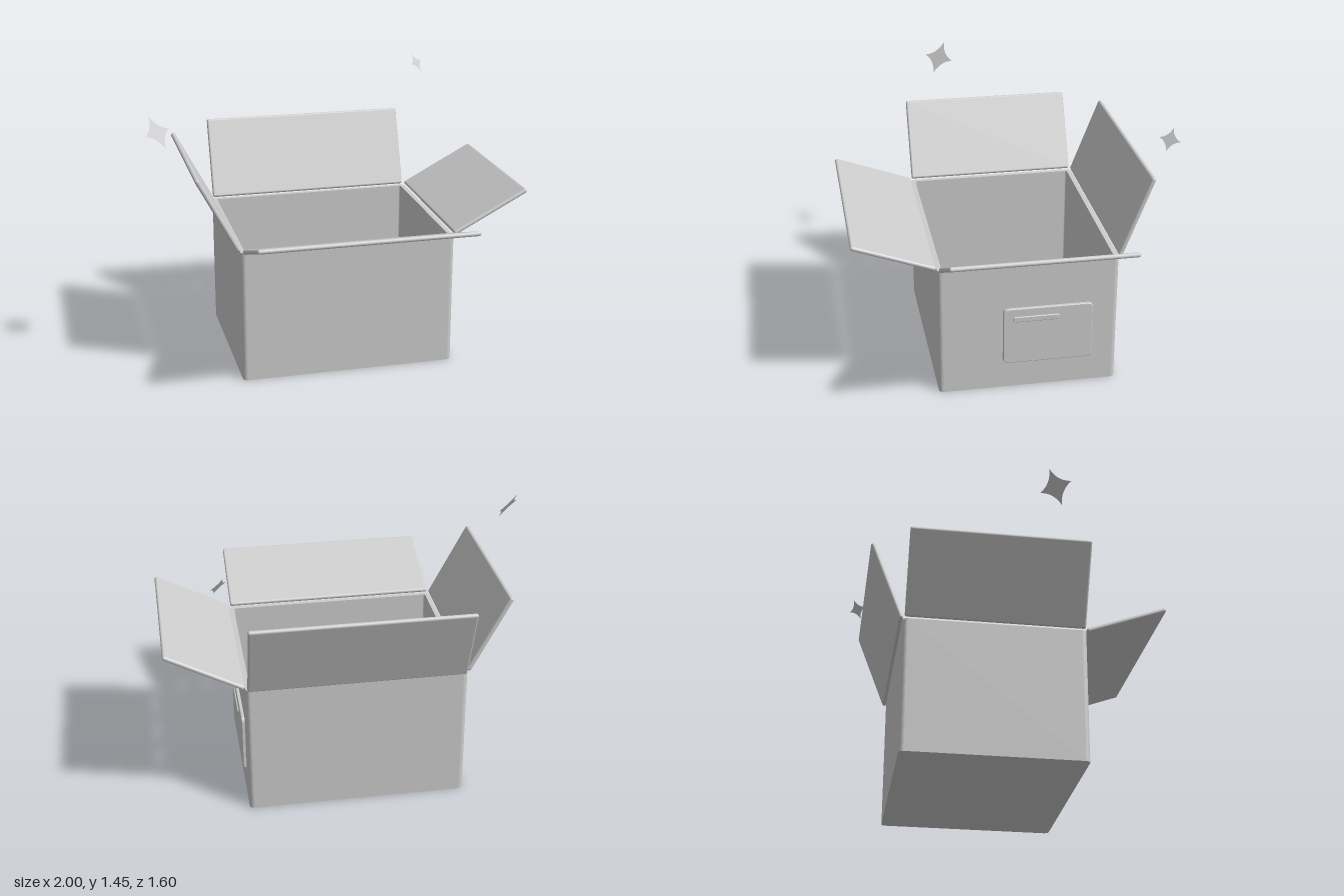
import * as THREE from 'three';
import { RoundedBoxGeometry } from 'three/addons/geometries/RoundedBoxGeometry.js';

const cardboard = new THREE.MeshStandardMaterial({ color: 0xcccccc, side: THREE.DoubleSide });
cardboard.name = 'pale grey';

// Rounded rectangle centred on the origin, drawn on a Shape or a hole Path
function roundRect(path, w, h, r) {
  const x = w / 2, y = h / 2;
  path.moveTo(-x + r, -y);
  path.lineTo(x - r, -y);
  path.absarc(x - r, -y + r, r, -Math.PI / 2, 0);
  path.lineTo(x, y - r);
  path.absarc(x - r, y - r, r, 0, Math.PI / 2);
  path.lineTo(-x + r, y);
  path.absarc(-x + r, y - r, r, Math.PI / 2, Math.PI);
  path.lineTo(-x, -y + r);
  path.absarc(-x + r, -y + r, r, Math.PI, Math.PI * 1.5);
  return path;
}

export function createModel() {
  const model = new THREE.Group();
  model.name = 'openBox';

  function add(name, geometry, x, y, z) {
    const mesh = new THREE.Mesh(geometry, cardboard);
    mesh.name = name;
    mesh.position.set(x, y, z);
    model.add(mesh);
    return mesh;
  }

  // Hollow body: four walls and a floor
  const height = 0.715, cx = 0.018, cz = -0.1;
  const wallShape = roundRect(new THREE.Shape(), 1.15, 0.945, 0.025);
  wallShape.holes.push(roundRect(new THREE.Path(), 1.1, 0.895, 0.012));
  const walls = new THREE.ExtrudeGeometry(wallShape, { depth: height, bevelEnabled: false, curveSegments: 8 });
  walls.rotateX(-Math.PI / 2);
  add('walls', walls, cx, 0, cz);

  const floorShape = roundRect(new THREE.Shape(), 1.104, 0.899, 0.012);
  const floor = new THREE.ExtrudeGeometry(floorShape, { depth: 0.025, bevelEnabled: false, curveSegments: 8 });
  floor.rotateX(-Math.PI / 2);
  add('floor', floor, cx, 0, cz);

  // Four flaps folded outward
  const deg = THREE.MathUtils.degToRad;
  const length = 0.452, thick = 0.024;
  const sideFlap = new RoundedBoxGeometry(length, thick, 0.93, 3, 0.0115);
  const endFlap = new RoundedBoxGeometry(1.135, thick, length, 3, 0.0115);
  add('leftFlap', sideFlap, 0.795, 0.83, cz).rotation.z = deg(28);
  add('rightFlap', sideFlap, -0.667, 0.921, cz).rotation.z = deg(-62);
  add('frontFlap', endFlap, cx, 0.8, 0.588).rotation.x = deg(-20);
  add('backFlap', endFlap, cx, 0.93, -0.659).rotation.x = deg(69);

  // Raised panel with a thin bar on the side wall
  function sidePanel(name, w, h, r, bevel, depth, x, y, z) {
    const shape = roundRect(new THREE.Shape(), w - 2 * bevel, h - 2 * bevel, r);
    const geometry = new THREE.ExtrudeGeometry(shape, {
      depth, bevelThickness: bevel, bevelSize: bevel, bevelSegments: 3, curveSegments: 8,
    });
    geometry.rotateY(Math.PI / 2);
    add(name, geometry, x, y, z);
  }
  sidePanel('sidePanel', 0.473, 0.32, 0.02, 0.005, 0.012, 0.593, 0.311, -0.201);
  sidePanel('panelBar', 0.245, 0.03, 0.008, 0.004, 0.008, 0.605, 0.411, -0.138);

  // Floating four-pointed sparkles with concave edges
  const star = new THREE.Shape();
  star.moveTo(1, 0);
  for (const [x, y, sx, sy] of [[0, 1, 1, 1], [-1, 0, -1, 1], [0, -1, -1, -1], [1, 0, 1, -1]]) {
    star.quadraticCurveTo(0.22 * sx, 0.22 * sy, x, y);
  }
  const starGeometry = new THREE.ShapeGeometry(star, 8);
  function sparkle(name, x, y, z, size) {
    const mesh = add(name, starGeometry, x, y, z);
    mesh.scale.setScalar(size);
    mesh.rotation.set(deg(-34), deg(45), 0, 'YXZ');
  }
  sparkle('largeSparkle', -0.932, 1.32, 0.147, 0.097);
  sparkle('smallSparkle', 0.717, 1.404, -0.76, 0.06);

  return model;
}
